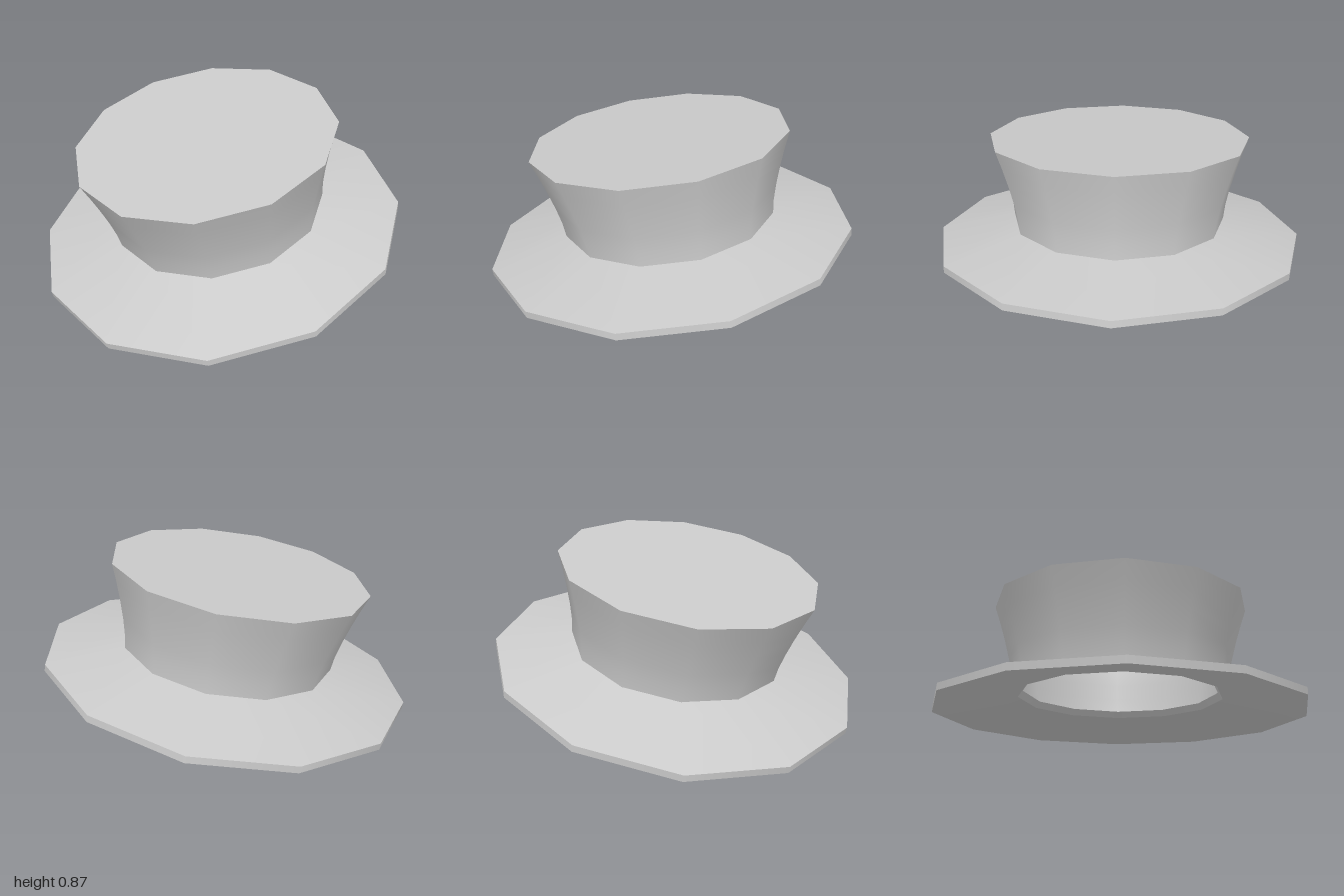
import * as THREE from 'three';

const SIDES = 12;
const TILT = 0.1685;

export function createModel() {
  const model = new THREE.Group();
  model.name = 'hat';
  const material = new THREE.MeshStandardMaterial({ color: 0xcccccc });

  // Each surface is its own lathe: smooth inside, sharp against its neighbours
  const ring = (parent, name, profile) => {
    const points = profile.map(([r, y]) => new THREE.Vector2(r, y));
    const mesh = new THREE.Mesh(new THREE.LatheGeometry(points, SIDES), material);
    mesh.name = name;
    parent.add(mesh);
  };

  // Flared crown: outer wall, lid, and the hollow inside
  const wall = [[0.582, 0.132], [0.59, 0.21], [0.608, 0.3], [0.635, 0.405], [0.663, 0.5], [0.695, 0.597]];
  const innerWall = [[0.53, 0.12], [0.553, 0.21], [0.571, 0.3], [0.597, 0.405], [0.626, 0.5], [0.65, 0.565]];
  const crown = new THREE.Group();
  crown.name = 'crown';
  crown.position.x = 0.012;
  ring(crown, 'crownWall', wall);
  ring(crown, 'crownLid', [wall.at(-1), [0, 0.597]]);
  ring(crown, 'crownLining', [...innerWall].reverse());
  ring(crown, 'crownCeiling', [[0, 0.565], innerWall.at(-1)]);

  // Shallow conical brim with a thin edge and a bevelled opening
  const brim = new THREE.Group();
  brim.name = 'brim';
  ring(brim, 'brimTop', [[1, 0.036], [0.57, 0.135]]);
  ring(brim, 'brimEdge', [[1, 0], [1, 0.036]]);
  ring(brim, 'brimUnderside', [[0.55, 0.088], [1, 0]]);
  ring(brim, 'openingBevel', [[0.525, 0.122], [0.55, 0.088]]);

  // The whole hat leans to its right
  const hat = new THREE.Group();
  hat.name = 'tiltedHat';
  hat.add(crown, brim);
  hat.rotation.z = TILT;
  hat.position.set(0.003, Math.sin(TILT), 0);
  model.add(hat);
  return model;
}
